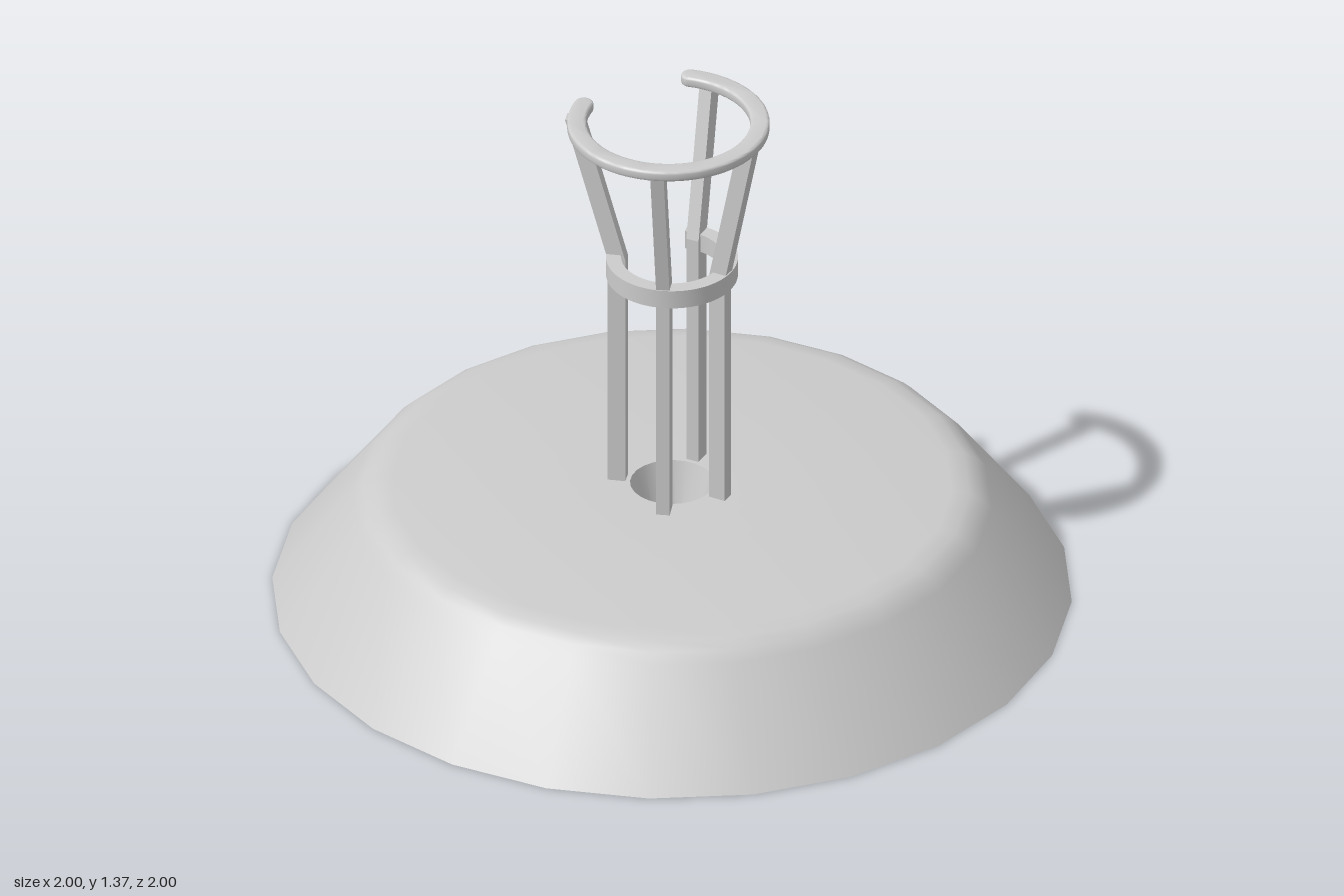
import * as THREE from 'three';
import { toCreasedNormals } from 'three/addons/utils/BufferGeometryUtils.js';

const grey = new THREE.MeshStandardMaterial({ color: 0xcccccc });

function add(group, name, geometry) {
  const mesh = new THREE.Mesh(geometry, grey);
  mesh.name = name;
  group.add(mesh);
  return mesh;
}

// Open ring lying flat, gap at the back, rounded bar ends
function openRing(inner, outer, y0, y1, endAngle, bevel, roundEnds) {
  const a0 = -Math.PI / 2 - (Math.PI / 2 + endAngle), a1 = -Math.PI / 2 + (Math.PI / 2 + endAngle);
  const ro = outer - bevel, ri = inner + bevel;
  const mid = (ro + ri) / 2, cap = (ro - ri) / 2;
  const shape = new THREE.Shape();
  shape.absarc(0, 0, ro, a0, a1, false);
  if (roundEnds) shape.absarc(mid * Math.cos(a1), mid * Math.sin(a1), cap, a1, a1 + Math.PI, false);
  shape.absarc(0, 0, ri, a1, a0, true);
  if (roundEnds) shape.absarc(mid * Math.cos(a0), mid * Math.sin(a0), cap, a0 + Math.PI, a0 + 2 * Math.PI, false);
  const geo = new THREE.ExtrudeGeometry(shape, {
    depth: y1 - y0 - 2 * bevel, bevelEnabled: bevel > 0,
    bevelSize: bevel, bevelThickness: bevel, bevelSegments: 3, curveSegments: 32,
  });
  geo.rotateX(-Math.PI / 2).translate(0, y0 + bevel, 0);
  return toCreasedNormals(geo, 0.6);
}

// Rectangular bar between two points, radial side turned to the given angle
function bar(bottom, top, angle) {
  const geo = new THREE.BoxGeometry(0.045, 1, 0.034);
  geo.rotateY(-angle);
  const p = geo.attributes.position;
  for (let i = 0; i < p.count; i++) {
    const c = bottom.clone().lerp(top, p.getY(i) + 0.5);
    p.setXYZ(i, p.getX(i) + c.x, c.y, p.getZ(i) + c.z);
  }
  geo.computeVertexNormals();
  return geo;
}

export function createModel() {
  const model = new THREE.Group();
  model.name = 'holderStand';

  // Weighted base with rounded shoulder and a tapered socket in the middle
  const profile = [
    [0, 0], [1, 0], [0.8, 0.265], [0.775, 0.29], [0.745, 0.307], [0.7, 0.315],
    [0.105, 0.315], [0.04, 0.06], [0, 0.06],
  ].map(([r, y]) => new THREE.Vector2(r, y));
  add(model, 'base', toCreasedNormals(new THREE.LatheGeometry(profile, 24), 0.6));

  // Collar and top rim, both open at the back
  add(model, 'collar', openRing(0.127, 0.165, 0.925, 0.975, 0.85, 0, false));
  add(model, 'topRim', openRing(0.205, 0.253, 1.337, 1.365, 0.86, 0.007, true)).position.z = -0.02;

  // Upright posts and the flared arms above them, mirrored left and right
  const supports = [
    { name: 'front', foot: [0.078, 0.112], tip: [0.125, 0.172] },
    { name: 'back', foot: [0.11, -0.083], tip: [0.188, -0.165] },
  ];
  for (const { name, foot, tip } of supports) {
    for (const side of [1, -1]) {
      const at = ([x, z], y) => new THREE.Vector3(side * x, y, z);
      const angle = Math.atan2(foot[1], side * foot[0]);
      const label = name + (side > 0 ? 'Left' : 'Right');
      add(model, label + 'Post', bar(at(foot, 0.3), at(foot, 0.96), angle));
      add(model, label + 'Arm', bar(at(foot, 0.96), at(tip, 1.345), angle));
    }
  }
  return model;
}
